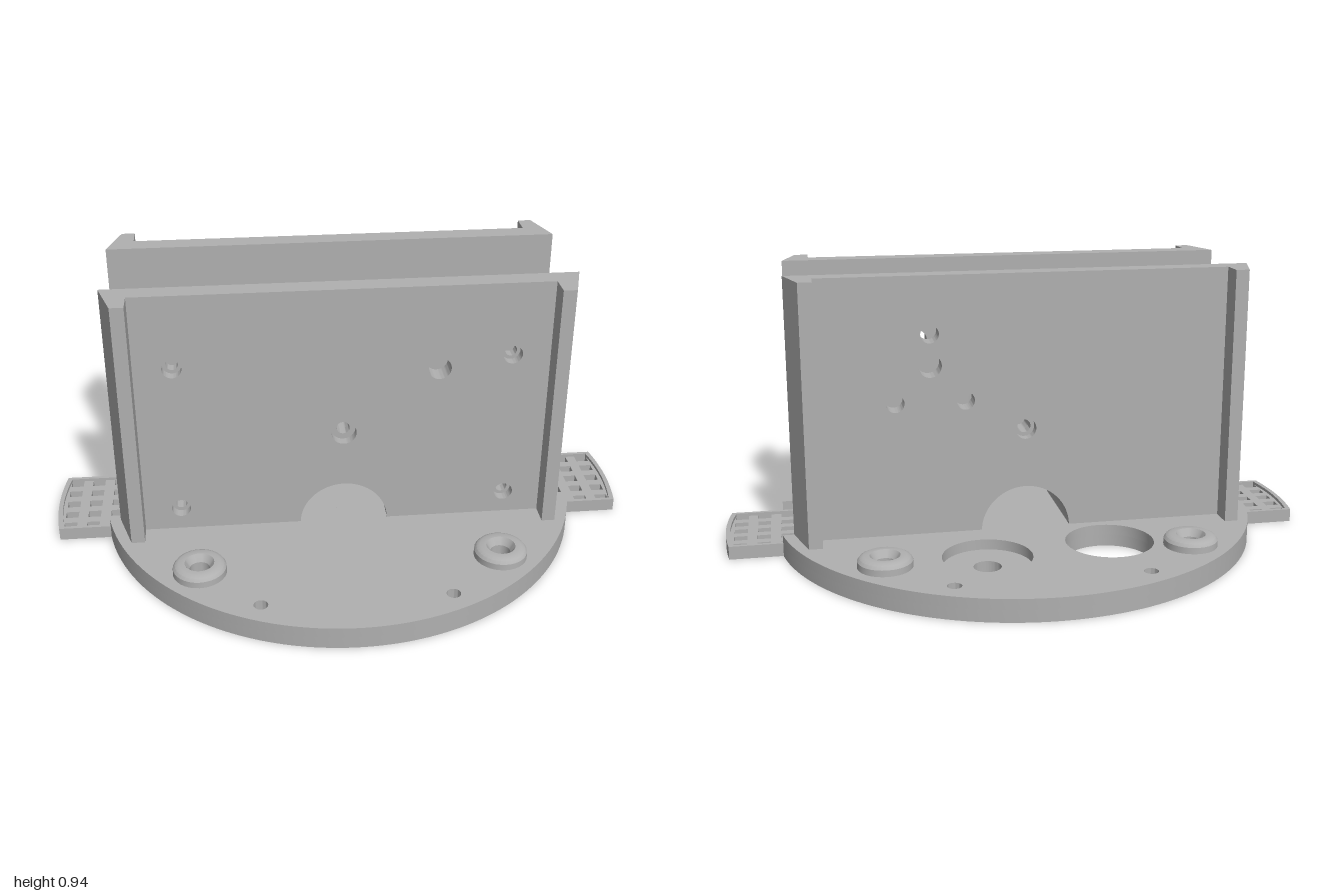
import * as THREE from 'three';
import { toCreasedNormals } from 'three/addons/utils/BufferGeometryUtils.js';

const R = 0.825, FLOOR = 0.04, TOP = 0.075, GAP = 0.17;

export function createModel() {
  const model = new THREE.Group();
  const grey = new THREE.MeshStandardMaterial({ color: 0xb0b0b0, side: THREE.DoubleSide });
  grey.name = 'plain grey';

  const add = (name, geo, parent = model) => {
    const mesh = new THREE.Mesh(toCreasedNormals(geo, 0.5), grey);
    mesh.name = name;
    parent.add(mesh);
    return mesh;
  };
  const poly = (pts) => new THREE.Shape(pts.map(([x, y]) => new THREE.Vector2(x, y)));
  const drill = (shape, holes) => {
    for (const [x, y, r] of holes) {
      const p = new THREE.Path();
      p.absarc(x, y, r, 0, Math.PI * 2, true);
      shape.holes.push(p);
    }
    return shape;
  };
  const extrude = (shape, depth) =>
    new THREE.ExtrudeGeometry(shape, { depth, bevelEnabled: false, curveSegments: 32 });
  // Extrude a plan drawn as (x, z) between two heights
  const plan = (shape, y0, y1) => extrude(shape, y1 - y0).rotateX(Math.PI / 2).translate(0, y1, 0);
  const rect = (x0, y0, x1, y1) => poly([[x0, y0], [x1, y0], [x1, y1], [x0, y1]]);

  // Base: lower disc notched for the end grilles
  const a = Math.asin(GAP / R);
  const disc = new THREE.Shape();
  disc.absarc(0, 0, R, a, Math.PI - a, false);
  disc.lineTo(-0.66, GAP);
  disc.lineTo(-0.66, -GAP);
  disc.absarc(0, 0, R, Math.PI + a, Math.PI * 2 - a, false);
  disc.lineTo(0.66, -GAP);
  disc.lineTo(0.66, GAP);
  const corners = [[1, 1], [-1, 1], [1, -1], [-1, -1]];
  const pins = (sz) => [-1, 1].map((s) => [s * 0.305, sz * 0.685, 0.023]);
  const posts = (sz, r) => [-1, 1].map((s) => [s * 0.495, sz * 0.495, r]);
  const bigHole = [-0.245, -0.415, 0.145];
  drill(disc, [...pins(1), ...pins(-1), ...posts(1, 0.033), ...posts(-1, 0.033),
    bigHole, [0.17, -0.475, 0.045], [0, 0, 0.008]]);
  add('lowerBase', plan(disc, 0, FLOOR));

  // Base: raised segments either side of the channel
  for (const s of [1, -1]) {
    const seg = new THREE.Shape();
    const start = s > 0 ? a : Math.PI + a;
    seg.absarc(0, 0, R, start, start + Math.PI - 2 * a, false);
    const extra = s < 0 ? [bigHole, [0.17, -0.475, 0.145]] : [];
    drill(seg, [...pins(s), ...posts(s, 0.05), ...extra]);
    add(s > 0 ? 'frontBase' : 'backBase', plan(seg, FLOOR, TOP));
  }
  add('tunnelFloor', plan(rect(-0.17, -GAP, 0.17, GAP), FLOOR, TOP));

  // Rounded mounting posts
  const postProfile = [[0.033, 0.03], [0.033, 0.088], [0.048, 0.112], [0.068, 0.112],
    [0.08, 0.106], [0.087, 0.096], [0.088, 0.07]].map(([x, y]) => new THREE.Vector2(x, y));
  for (const [sx, sz] of corners) {
    add('mountingPost', new THREE.LatheGeometry(postProfile, 32))
      .position.set(sx * 0.495, 0, sz * 0.495);
  }

  // Upright walls, in two layers so that the screw holes are stepped
  const wallShape = (holes) => {
    const s = new THREE.Shape();
    s.moveTo(-0.68, 0.07);
    s.lineTo(-0.15, 0.07);
    s.absarc(0, 0.07, 0.15, Math.PI, 0, true);
    s.lineTo(0.68, 0.07);
    s.lineTo(0.68, 0.94);
    s.lineTo(-0.68, 0.94);
    return drill(s, holes);
  };
  const frontHoles = (r, c) => [[-0.555, 0.685, r], [0.555, 0.685, r], [-0.555, 0.155, r],
    [0.555, 0.155, r], [0, 0.42, c], [0.315, 0.645, 0.038]];
  const backHoles = (c) => [[0, 0.42, c], [0.315, 0.645, 0.038], [0.315, 0.75, 0.03],
    [0.2, 0.525, 0.03], [0.43, 0.525, 0.03]];
  const layers = [
    ['frontWallInner', frontHoles(0.02, 0.022), GAP], ['frontWallOuter', frontHoles(0.032, 0.042), 0.205],
    ['backWallInner', backHoles(0.022), -0.205], ['backWallOuter', backHoles(0.035), -0.24],
  ];
  for (const [name, holes, z] of layers) add(name, extrude(wallShape(holes), 0.035).translate(0, 0, z));

  // Angled flanges at the wall ends
  for (const [sx, sz] of corners) {
    const pts = [[0.68, GAP], [0.77, GAP], [0.725, 0.315], [0.68, 0.315]];
    add('wallFlange', plan(poly(pts.map(([x, z]) => [x * sx, z * sz])), 0.07, 0.94));
  }

  // Channel floor and tunnel hump, blended up into the walls
  const path = [];
  const f = 0.05, cx = 0.2387, cy = 0.095;
  path.push([0.67, 0.045, 0, 1]);
  for (let i = 0; i <= 8; i++) {
    const t = -Math.PI / 2 - (i / 8) * 1.466;
    path.push([cx + f * Math.cos(t), cy + f * Math.sin(t), -Math.cos(t), -Math.sin(t)]);
  }
  for (let i = 1; i <= 12; i++) {
    const t = 0.104 + (i / 12) * (Math.PI / 2 - 0.104);
    path.push([0.19 * Math.cos(t), 0.07 + 0.19 * Math.sin(t), Math.cos(t), Math.sin(t)]);
  }
  const half = path.length;
  for (let i = half - 2; i >= 0; i--) path.push([-path[i][0], path[i][1], -path[i][2], path[i][3]]);
  const rows = [];
  for (let i = 0; i <= 6; i++) {
    const t = (i / 6) * Math.PI / 2;
    rows.push([-GAP + 0.04 * (1 - Math.cos(t)), 0.04 * (1 - Math.sin(t))]);
  }
  for (let i = 6; i >= 0; i--) rows.push([-rows[i][0], rows[i][1]]);
  const pos = [], idx = [], n = path.length;
  rows.forEach(([z, d], r) => path.forEach(([x, y, nx, ny], c) => {
    pos.push(x + nx * d, y + ny * d, z);
    if (r && c) {
      const k = r * n + c;
      idx.push(k - n - 1, k - 1, k - n, k - n, k - 1, k);
    }
  }));
  const hump = new THREE.BufferGeometry();
  hump.setAttribute('position', new THREE.Float32BufferAttribute(pos, 3));
  // Path runs from +x to -x, so flip the corners to face up
  for (let i = 0; i < idx.length; i += 3) [idx[i + 1], idx[i + 2]] = [idx[i + 2], idx[i + 1]];
  hump.setIndex(idx);
  add('channelFloor', hump);

  // Arched tunnel lining
  const lining = new THREE.CylinderGeometry(0.15, 0.15, GAP * 2, 48, 1, true, -Math.PI / 2, Math.PI);
  add('tunnelLining', lining.rotateX(-Math.PI / 2).translate(0, 0.07, 0));

  // Screw bosses on the inner walls, each on a flared column
  const flare = [[0.062, 0.105], [0.071, 0.109], [0.075, 0.118], [0.077, 0.137],
    [0.088, 0.154], [0.105, 0.166], [0.13, GAP]];
  const bossPts = [[0.022, GAP], [0.022, 0.105], ...flare].map(([x, y]) => new THREE.Vector2(x, y));
  const columnPts = [...flare, ...flare.map(([x, z]) => [-x, z]).reverse()];
  for (const s of [1, -1]) {
    const boss = new THREE.Group();
    boss.name = s > 0 ? 'frontScrewBoss' : 'backScrewBoss';
    model.add(boss);
    add('bossRing', new THREE.LatheGeometry(bossPts, 40).rotateX(s * Math.PI / 2).translate(0, 0.42, 0), boss);
    add('bossColumn', plan(poly(columnPts.map(([x, z]) => [x, z * s])), 0.22, 0.385), boss);
    const fillet = new THREE.Shape();
    fillet.moveTo(0.055, 0.255);
    fillet.quadraticCurveTo(0.105, 0.262, 0.107, 0.31);
    fillet.lineTo(0.12, 0.24);
    fillet.lineTo(0.055, 0.24);
    add('bossFillet', extrude(fillet, 0.124).rotateY(-Math.PI / 2)
      .translate(0.062, 0, 0).rotateY(s > 0 ? 0 : Math.PI), boss);
  }

  // Grilles at both ends, with a thin raised rim
  const tabShape = (x0, x1, z) => {
    const s = new THREE.Shape();
    s.moveTo(x0, -z);
    s.lineTo(x1 - 0.015, -z);
    s.quadraticCurveTo(x1 + 0.015, 0, x1 - 0.015, z);
    s.lineTo(x0, z);
    return s;
  };
  for (const s of [1, -1]) {
    const grille = new THREE.Group();
    grille.name = s > 0 ? 'leftGrille' : 'rightGrille';
    grille.rotation.y = s > 0 ? 0 : Math.PI;
    model.add(grille);
    const plate = tabShape(0.655, 1, 0.165);
    for (const x of [0.712, 0.791, 0.871, 0.949]) {
      for (let j = -2; j <= 2; j++) {
        plate.holes.push(rect(x - 0.022, j * 0.067 - 0.018, x + 0.022, j * 0.067 + 0.018));
      }
    }
    add('grillePlate', plan(plate, 0, 0.035), grille);
    const rim = tabShape(0.655, 1, 0.165);
    rim.holes.push(tabShape(0.672, 0.985, 0.152));
    add('grilleRim', plan(rim, 0.035, 0.045), grille);
  }
  return model;
}
